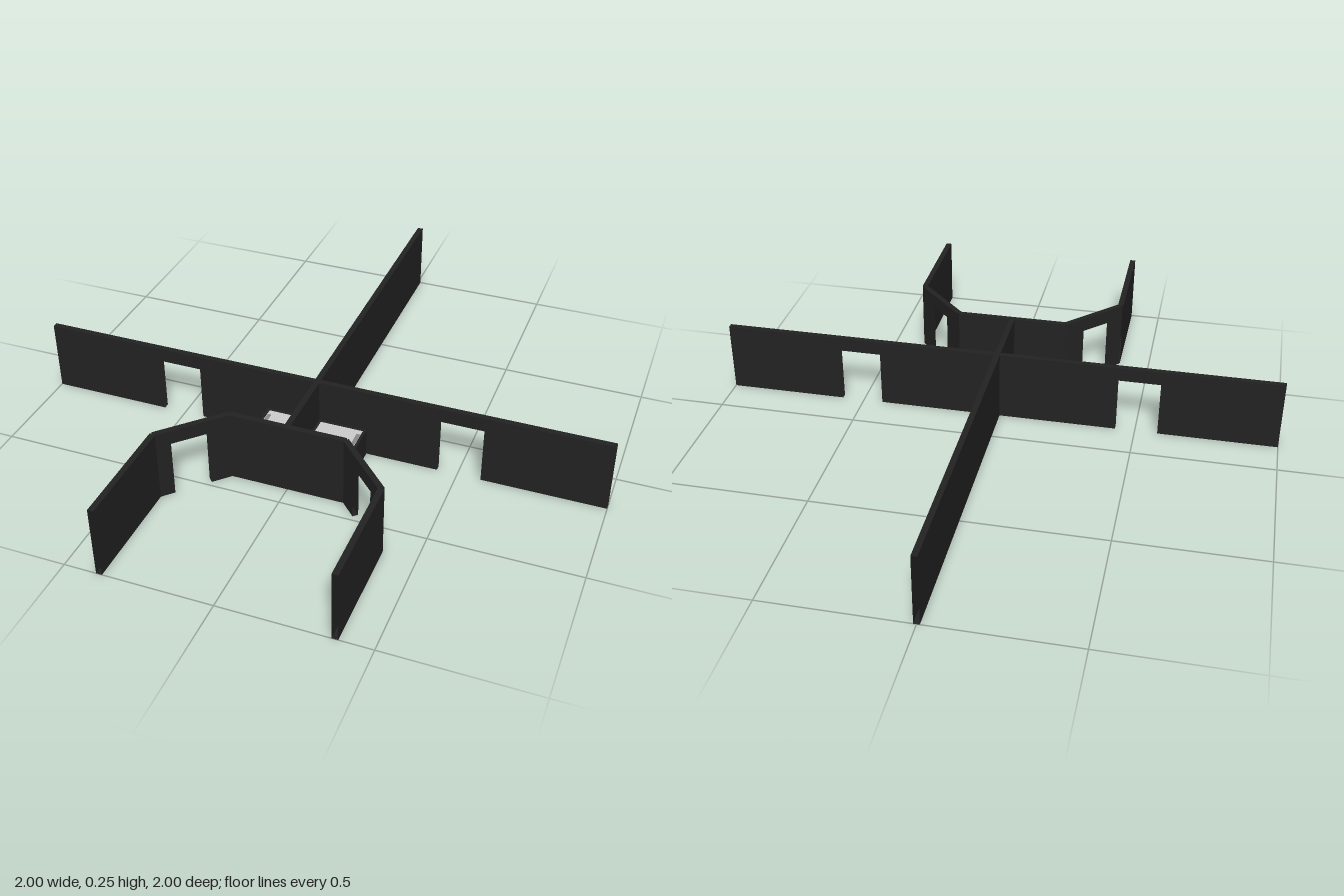
import * as THREE from 'three';

const H = 0.25, T = 0.02, DOOR = 0.2, DESK = 0.1;
const dark = new THREE.MeshStandardMaterial({ color: 0x222222, side: THREE.DoubleSide });
const grey = new THREE.MeshStandardMaterial({ color: 0xcccccc });
const slotGrey = new THREE.MeshStandardMaterial({ color: 0x888888 });

// Hollow partition between two floor points, open at its ends and door jambs
function wall(name, x0, z0, x1, z1, doors = [], base = 0) {
  const g = new THREE.Group();
  g.name = name;
  const len = Math.hypot(x1 - x0, z1 - z0);
  const s = new THREE.Shape();
  s.moveTo(0, base);
  for (const [a, b] of doors) {
    s.lineTo(a, base);
    s.lineTo(a, DOOR);
    s.lineTo(b, DOOR);
    s.lineTo(b, base);
  }
  s.lineTo(len, base);
  s.lineTo(len, H);
  s.lineTo(0, H);
  for (const side of [1, -1]) {
    const face = new THREE.Mesh(new THREE.ShapeGeometry(s), dark);
    face.name = 'wallFace';
    face.position.z = side * T / 2;
    g.add(face);
  }
  // horizontal strips closing the top, the bottom and the door heads
  const strip = (a, b, y, up) => {
    const m = new THREE.Mesh(new THREE.PlaneGeometry(b - a, T), dark);
    m.name = 'wallCap';
    m.rotation.x = up ? -Math.PI / 2 : Math.PI / 2;
    m.position.set((a + b) / 2, y, 0);
    g.add(m);
  };
  strip(0, len, H, true);
  let start = 0;
  for (const [a, b] of doors) {
    strip(start, a, base, false);
    strip(a, b, DOOR, false);
    start = b;
  }
  strip(start, len, base, false);
  g.position.set(x0, 0, z0);
  g.rotation.y = -Math.atan2(z1 - z0, x1 - x0);
  return g;
}

function box(name, x0, x1, y0, y1, z0, z1, material = dark) {
  const m = new THREE.Mesh(new THREE.BoxGeometry(x1 - x0, y1 - y0, z1 - z0), material);
  m.name = name;
  m.position.set((x0 + x1) / 2, (y0 + y1) / 2, (z0 + z1) / 2);
  return m;
}

export function createModel() {
  const model = new THREE.Group();
  model.name = 'partitionLayout';

  // Long cross wall with two doorways, and the rear spine
  model.add(wall('crossWall', -1, 0.15, 1, 0.15, [[0.42, 0.57], [1.43, 1.58]]));
  model.add(wall('rearSpine', 0, -1, 0, 0.14));

  // Front enclosure: short wall, angled walls with doors, side wings
  model.add(wall('frontWall', -0.2, 0.42, 0.2, 0.42));
  for (const s of [1, -1]) {
    model.add(wall('angledWall', s * 0.2, 0.42, s * 0.38, 0.605, [[0.077, 0.204]]));
    model.add(wall('wingWall', s * 0.38, 0.605, s * 0.38, 1));
  }

  // Four-place counter: upper divider, low outer sides, recessed tops in a frame
  const counter = new THREE.Group();
  counter.name = 'counter';
  counter.add(wall('upperDivider', 0, 0.16, 0, 0.41, [], DESK));
  for (const s of [1, -1]) {
    const bar = (name, a, b, y0, y1, z0, z1, mat) =>
      counter.add(box(name, Math.min(s * a, s * b), Math.max(s * a, s * b), y0, y1, z0, z1, mat));
    bar('counterSide', 0.17, 0.18, 0, DESK, 0.16, 0.41);
    bar('innerRail', 0, 0.018, 0.085, DESK, 0.16, 0.41);
    for (const [a, b] of [[0.16, 0.167], [0.273, 0.293], [0.403, 0.41]])
      bar('crossRail', 0.018, 0.17, 0.085, DESK, a, b);
    for (const [a, b] of [[0.167, 0.273], [0.293, 0.403]]) {
      const mid = (a + b) / 2;
      bar('counterTop', 0.018, 0.17, 0.088, 0.097, a, b, grey);
      bar('counterSlot', 0.155, 0.167, 0.097, 0.099, mid - 0.03, mid + 0.03, slotGrey);
    }
  }
  model.add(counter);
  return model;
}
